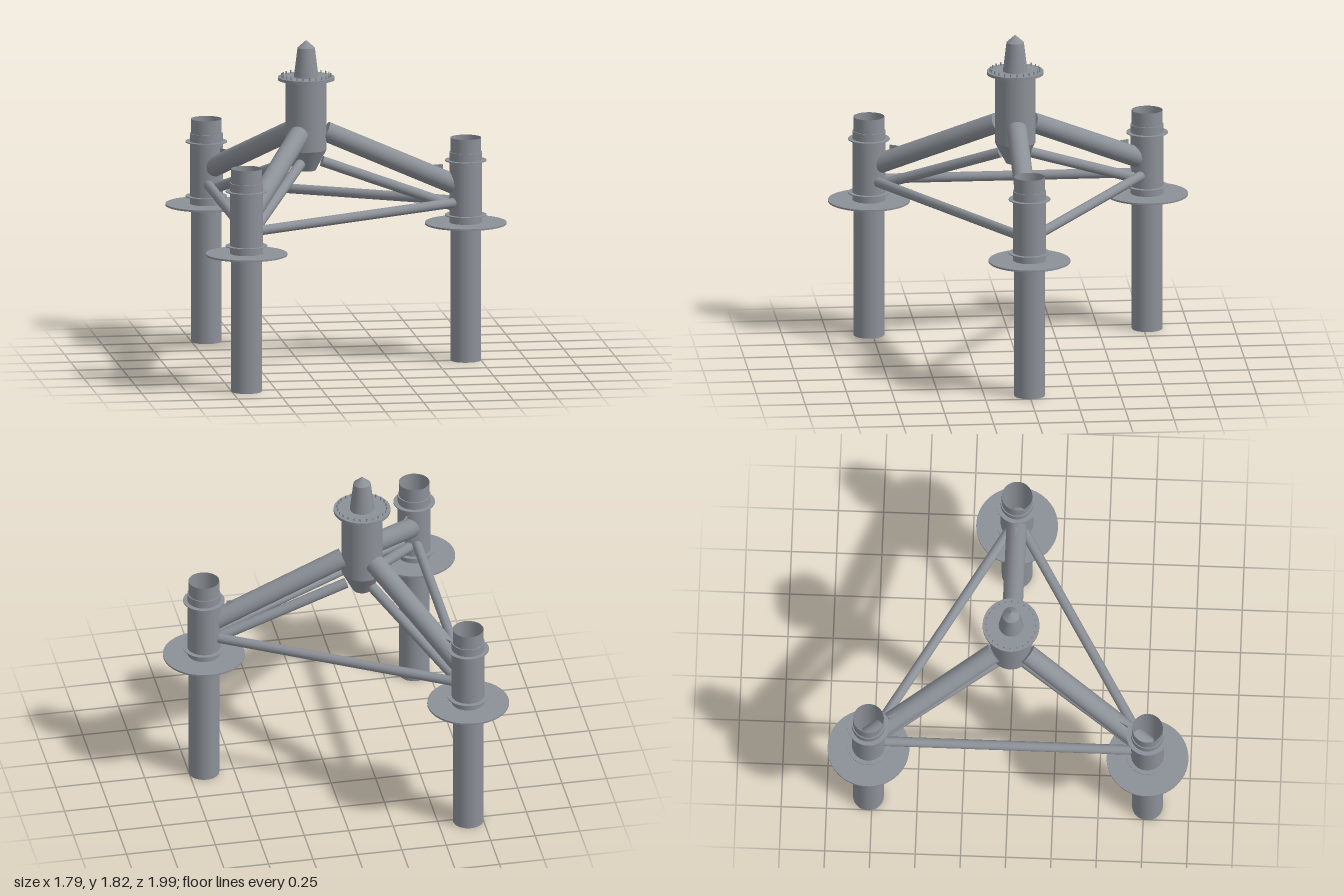
import * as THREE from 'three';

export function createModel() {
  const model = new THREE.Group();
  model.name = 'tripodFoundation';
  const steel = new THREE.MeshStandardMaterial({ color: 0x8c9198, side: THREE.DoubleSide });
  steel.name = 'grey steel';

  const CX = -0.223;      // axis of the central column
  const REACH = 0.89;     // column axis to pile axis

  const add = (parent, name, geometry, x = 0, y = 0, z = 0) => {
    const mesh = new THREE.Mesh(geometry, steel);
    mesh.name = name;
    mesh.position.set(x, y, z);
    parent.add(mesh);
    return mesh;
  };
  // upright cylinder between two heights
  const upright = (parent, name, rTop, rBottom, y0, y1, x = 0, open = false, sides = 40) =>
    add(parent, name, new THREE.CylinderGeometry(rTop, rBottom, y1 - y0, sides, 1, open), x, (y0 + y1) / 2);
  // round strut between two points
  const strut = (parent, name, a, b, r) => {
    const dir = b.clone().sub(a);
    const mesh = add(parent, name, new THREE.CylinderGeometry(r, r, dir.length(), 28));
    mesh.position.copy(a).addScaledVector(dir, 0.5);
    mesh.quaternion.setFromUnitVectors(new THREE.Vector3(0, 1, 0), dir.normalize());
    return mesh;
  };
  // flat annulus lying horizontally, its underside at y
  const ring = (parent, name, rOuter, rInner, thickness, y, x) => {
    const shape = new THREE.Shape().absarc(0, 0, rOuter, 0, Math.PI * 2);
    shape.holes.push(new THREE.Path().absarc(0, 0, rInner, 0, Math.PI * 2, true));
    const geometry = new THREE.ExtrudeGeometry(shape, { depth: thickness, bevelEnabled: false, curveSegments: 32 });
    geometry.rotateX(-Math.PI / 2);
    return add(parent, name, geometry, x, y);
  };

  // central column with tapered foot, flange, bolts and pointed top
  const column = new THREE.Group();
  column.name = 'centralColumn';
  column.position.x = CX;
  model.add(column);
  upright(column, 'columnShell', 0.113, 0.113, 1.207, 1.6);
  upright(column, 'columnFoot', 0.113, 0.052, 1.09, 1.207);
  upright(column, 'towerFlange', 0.157, 0.157, 1.598, 1.614, 0, false, 48);
  upright(column, 'transitionCone', 0.048, 0.068, 1.614, 1.777);
  upright(column, 'pointedCap', 0, 0.048, 1.777, 1.82);
  const bolts = 24;
  for (let i = 0; i < bolts; i++) {
    const a = (i / bolts) * Math.PI * 2;
    add(column, 'flangeBolt', new THREE.CylinderGeometry(0.004, 0.004, 0.02, 8),
      Math.cos(a) * 0.137, 1.621, Math.sin(a) * 0.137);
  }

  // three identical legs around the column
  for (let i = 0; i < 3; i++) {
    const leg = new THREE.Group();
    leg.name = 'leg' + (i + 1);
    leg.position.x = CX;
    leg.rotation.y = (i * Math.PI * 2) / 3;
    model.add(leg);

    // open pile in its sleeve
    upright(leg, 'pile', 0.085, 0.085, 0, 1.25, REACH, true);
    upright(leg, 'pileSleeve', 0.091, 0.091, 0.77, 1.17, REACH, true);
    ring(leg, 'sleeveRim', 0.091, 0.085, 0.004, 1.166, REACH);
    ring(leg, 'upperCollar', 0.115, 0.09, 0.005, 1.12, REACH);
    ring(leg, 'lowerCollar', 0.115, 0.09, 0.005, 0.814, REACH);
    upright(leg, 'mudmat', 0.226, 0.226, 0.765, 0.775, REACH, false, 56);

    // sloping braces to the column
    strut(leg, 'mainBrace', new THREE.Vector3(0.108, 1.305, 0), new THREE.Vector3(REACH, 0.96, 0), 0.056);
    strut(leg, 'lowerBrace', new THREE.Vector3(0.088, 1.138, 0), new THREE.Vector3(REACH - 0.02, 0.85, 0), 0.029);

    // lifting plate on top of the main brace
    add(leg, 'liftingPlate', new THREE.BoxGeometry(0.05, 0.1, 0.008), 0.738, 1.052, 0);

    // horizontal brace to the next pile
    const next = (Math.PI * 2) / 3;
    strut(leg, 'horizontalBrace', new THREE.Vector3(REACH, 0.892, 0),
      new THREE.Vector3(Math.cos(next) * REACH, 0.892, Math.sin(next) * REACH), 0.027);
  }
  return model;
}
